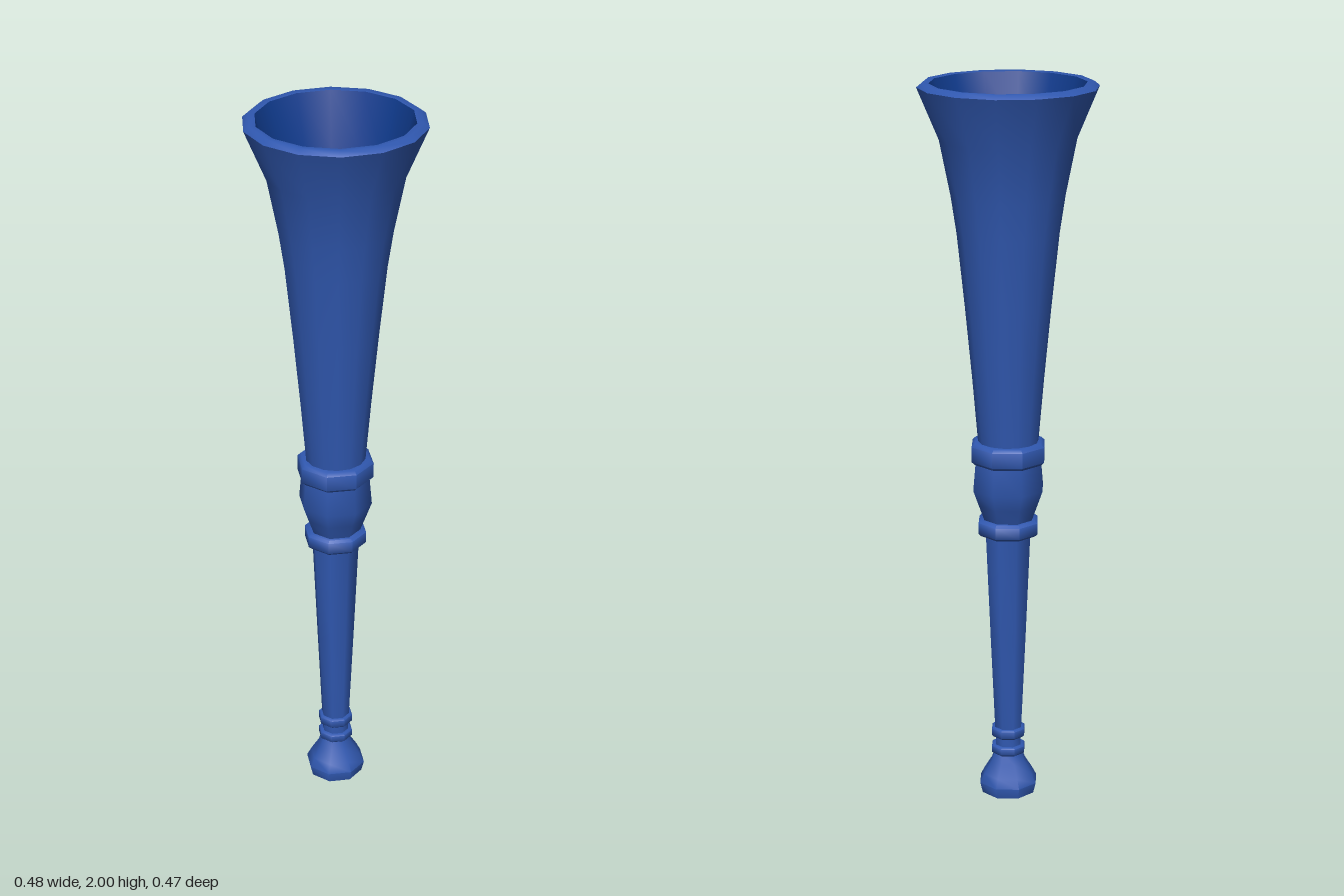
import * as THREE from 'three';
import { toCreasedNormals } from 'three/addons/utils/BufferGeometryUtils.js';

export function createModel() {
  const model = new THREE.Group();
  model.name = 'horn';

  const bluePlastic = new THREE.MeshStandardMaterial({ color: 0x3058b0 });
  bluePlastic.name = 'blue plastic';
  const deepBlue = new THREE.MeshStandardMaterial({ color: 0x103c90 });
  deepBlue.name = 'deep blue lining';

  // Turned part: profile of [radius, height] pairs, rising on outer surfaces
  function turned(name, profile, sides, start, material = bluePlastic, scale = 1) {
    const points = profile.map(([r, y]) => new THREE.Vector2(r * scale, y));
    const lathe = new THREE.LatheGeometry(points, sides, start);
    const mesh = new THREE.Mesh(toCreasedNormals(lathe, 0.9), material);
    mesh.name = name;
    model.add(mesh);
  }

  // Lower parts are eight-sided with a flat facing front; radii are half widths
  const octagon = (name, profile, material) =>
    turned(name, profile, 8, Math.PI / 8, material, 1 / Math.cos(Math.PI / 8));
  // The bell is fourteen-sided with a corner on the x axis
  const bell = (name, profile, material) => turned(name, profile, 14, Math.PI / 2, material);

  // Raised collar with small bevels
  function collar(name, r, inner, y0, y1) {
    const b = (y1 - y0) * 0.15;
    octagon(name, [
      [inner, y0], [r - b, y0], [r, y0 + b], [r, y1 - b], [r - b, y1], [inner, y1],
    ]);
  }

  // Mouthpiece, its cup and the two small rings above it
  octagon('mouthpiece', [
    [0.062, 0], [0.071, 0], [0.078, 0.03], [0.066, 0.055], [0.046, 0.09], [0.036, 0.12],
  ]);
  octagon('mouthpieceCup', [[0.018, 0.12], [0.022, 0.07], [0.045, 0.03], [0.062, 0]].reverse());
  collar('lowerRing', 0.045, 0.03, 0.115, 0.14);
  octagon('neck', [[0.035, 0.13], [0.034, 0.175]]);
  collar('upperRing', 0.045, 0.03, 0.165, 0.193);

  // Long pipe, joint and collars
  octagon('pipe', [[0.036, 0.185], [0.048, 0.46], [0.061, 0.775]]);
  collar('lowerCollar', 0.08, 0.05, 0.763, 0.808);
  octagon('joint', [[0.062, 0.8], [0.079, 0.85], [0.094, 0.895], [0.087, 0.98]]);
  collar('upperCollar', 0.098, 0.07, 0.968, 1.028);

  // Flaring bell with bevelled rim
  bell('bell', [
    [0.08, 1], [0.097, 1.2], [0.116, 1.4], [0.137, 1.6], [0.152, 1.7],
    [0.182, 1.85], [0.24, 1.988],
  ]);
  bell('bellRim', [[0.24, 1.988], [0.225, 2], [0.208, 1.998]]);

  // Hollow inside of the bell and pipe, running down to the mouthpiece
  bell('bellLining', [
    [0.208, 1.998], [0.166, 1.85], [0.136, 1.7], [0.122, 1.6], [0.1, 1.4],
    [0.082, 1.2], [0.066, 1], [0.046, 0.8], [0.018, 0.12],
  ], deepBlue);

  return model;
}
